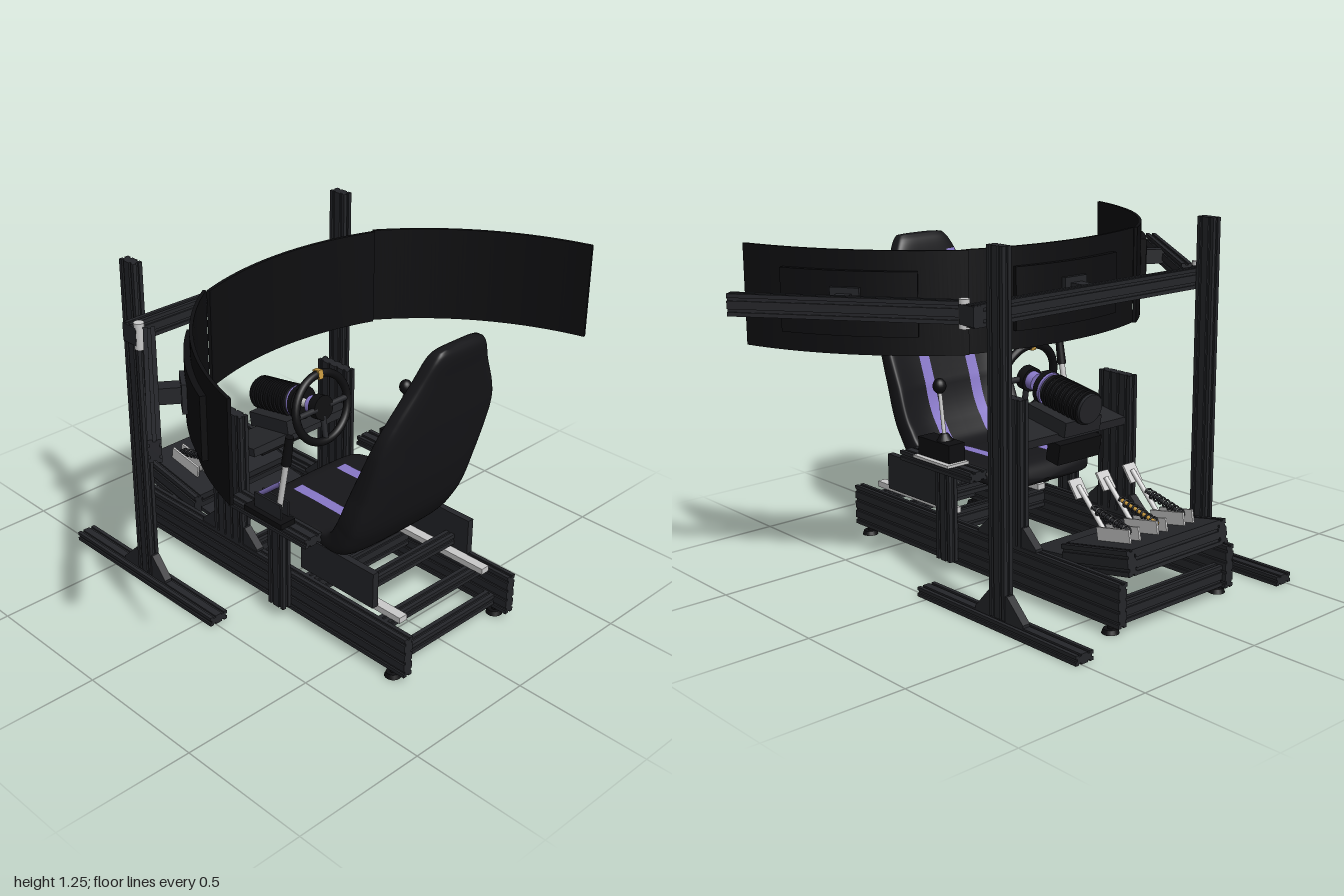
import * as THREE from 'three';
import { ParametricGeometry } from 'three/addons/geometries/ParametricGeometry.js';

const mat = (color, side = THREE.FrontSide) => new THREE.MeshStandardMaterial({ color, side });
const FRAME = mat(0x25262a), BLACK = mat(0x0e0e10), SEAT = mat(0x17171a);
const PURPLE = mat(0x8878c8), SILVER = mat(0xcccccc), GOLD = mat(0xc89a40);
const V = (x, y, z) => new THREE.Vector3(x, y, z);

function add(parent, name, geometry, material) {
  const m = new THREE.Mesh(geometry, material);
  m.name = name;
  parent.add(m);
  return m;
}

function box(parent, name, material, [x0, x1], [y0, y1], [z0, z1]) {
  const m = add(parent, name, new THREE.BoxGeometry(x1 - x0, y1 - y0, z1 - z0), material);
  m.position.set((x0 + x1) / 2, (y0 + y1) / 2, (z0 + z1) / 2);
  return m;
}

function rod(parent, name, material, a, b, r, r2 = r) {
  const m = add(parent, name, new THREE.CylinderGeometry(r2, r, a.distanceTo(b), 20), material);
  m.position.copy(a).lerp(b, 0.5);
  m.quaternion.setFromUnitVectors(V(0, 1, 0), b.clone().sub(a).normalize());
  return m;
}

// Slotted aluminium section, one groove per 0.038 module on every side
function slottedShape(w, h) {
  const pts = [], n = 0.005, d = 0.006;
  const corners = [[-w / 2, -h / 2], [w / 2, -h / 2], [w / 2, h / 2], [-w / 2, h / 2]];
  corners.forEach(([x, y], i) => {
    const [ex, ey] = corners[(i + 1) % 4], len = Math.hypot(ex - x, ey - y);
    const ux = (ex - x) / len, uy = (ey - y) / len, count = Math.max(1, Math.round(len / 0.038));
    const at = (s, depth) => pts.push(new THREE.Vector2(x + ux * s - uy * depth, y + uy * s + ux * depth));
    at(0, 0);
    for (let k = 0; k < count; k++) {
      const c = ((k + 0.5) * len) / count;
      at(c - n, 0); at(c - n, d); at(c + n, d); at(c + n, 0);
    }
  });
  return new THREE.Shape(pts);
}

function beam(parent, name, axis, X, Y, Z) {
  const size = [X[1] - X[0], Y[1] - Y[0], Z[1] - Z[0]];
  const [w, h, len] = axis === 'x' ? [size[2], size[1], size[0]] : axis === 'y' ? [size[0], size[2], size[1]] : size;
  const g = new THREE.ExtrudeGeometry(slottedShape(w, h), { depth: len, bevelEnabled: false });
  g.translate(0, 0, -len / 2);
  if (axis === 'x') g.rotateY(Math.PI / 2);
  if (axis === 'y') g.rotateX(-Math.PI / 2);
  const m = add(parent, name, g, FRAME);
  m.position.set((X[0] + X[1]) / 2, (Y[0] + Y[1]) / 2, (Z[0] + Z[1]) / 2);
}

function gusset(parent, x, y, z, dz, h) {
  const s = new THREE.Shape([[0, 0], [dz, 0], [dz, 0.01], [0.1 * dz, h], [0, h]].map(p => new THREE.Vector2(...p)));
  const g = new THREE.ExtrudeGeometry(s, { depth: 0.03, bevelEnabled: false }).translate(0, 0, -0.015).rotateY(-Math.PI / 2);
  add(parent, 'gusset', g, FRAME).position.set(x, y, z);
}

// Curved slab, apex at the origin, bulging towards -z
function curvedSlab(width, height, thick, R = 1.09) {
  const a = Math.asin(width / 2 / R), s = new THREE.Shape();
  s.absarc(0, -R, R, Math.PI / 2 + a, Math.PI / 2 - a, true);
  s.absarc(0, -R, R - thick, Math.PI / 2 - a, Math.PI / 2 + a, false);
  const g = new THREE.ExtrudeGeometry(s, { depth: height, bevelEnabled: false, curveSegments: 28 });
  return g.translate(0, 0, -height / 2).rotateX(-Math.PI / 2);
}

function monitor(parent, name, x, z, angle) {
  const g = new THREE.Group();
  g.name = name;
  add(g, 'screen', curvedSlab(0.775, 0.346, 0.012), BLACK);
  add(g, 'rearHousing', curvedSlab(0.47, 0.215, 0.025), BLACK).position.z = -0.02;
  box(g, 'mountPlate', FRAME, [-0.05, 0.05], [-0.045, 0.055], [-0.035, -0.018]);
  box(g, 'mountArm', FRAME, [-0.025, 0.025], [-0.02, 0.035], [-0.12, -0.03]);
  g.position.set(x, 1.025, z);
  g.rotation.y = angle;
  parent.add(g);
}

// Seat stations: back z,y / front z,y / half width / hollow between bolsters
const STATIONS = [
  [-0.04, 0.315, -0.05, 0.36, 0.2, 0], [0, 0.33, 0, 0.4, 0.235, 0.1], [0.12, 0.335, 0.1, 0.42, 0.25, 0.25],
  [0.3, 0.335, 0.24, 0.43, 0.26, 0.35], [0.42, 0.335, 0.33, 0.44, 0.265, 0.4], [0.49, 0.42, 0.365, 0.49, 0.27, 0.45],
  [0.56, 0.6, 0.42, 0.61, 0.27, 0.45], [0.615, 0.8, 0.515, 0.8, 0.265, 0.35], [0.64, 0.9, 0.555, 0.9, 0.235, 0.2],
  [0.67, 1.03, 0.59, 1.02, 0.165, 0.1], [0.69, 1.12, 0.625, 1.12, 0.115, 0], [0.685, 1.142, 0.645, 1.142, 0.095, 0],
];

function buildSeat(root) {
  const seat = new THREE.Group();
  seat.name = 'seat';
  root.add(seat);
  const curve = f => new THREE.CatmullRomCurve3(STATIONS.map(f));
  const back = curve(s => V(0, s[1], s[0])), front = curve(s => V(0, s[3], s[2])), dims = curve(s => V(s[4], s[5], 0));
  const point = (t, cos, sin, lift, out) => {
    const b = back.getPoint(t), f = front.getPoint(t), d = dims.getPoint(t);
    const k = Math.sqrt(Math.max(0, Math.min(1, t / 0.025, (1 - t) / 0.025)));
    const h = Math.sqrt(Math.abs(sin)), a = Math.sign(cos) * Math.sqrt(Math.abs(cos));
    const e = sin > 0 ? h / 2 - d.y * h ** 4 : -h / 2;
    out.copy(b).lerp(f, 0.5 + e * k).addScaledVector(f.sub(b).normalize(), lift);
    out.x = a * d.x * k;
  };
  add(seat, 'seatShell', new ParametricGeometry((u, v, p) =>
    point(v, Math.cos(u * 2 * Math.PI), Math.sin(u * 2 * Math.PI), 0, p), 56, 80), SEAT);
  for (const s of [-1, 1]) {
    add(seat, 'seatStripe', new ParametricGeometry((u, v, p) => {
      const t = (1.5 + v * 8) / 11, x = s * 0.107 + 0.023 - 0.046 * u;
      const c = Math.min(1, (x / dims.getPoint(t).x) ** 2);
      point(t, Math.sign(x) * c, Math.sqrt(1 - c * c), 0.004, p);
    }, 4, 60), PURPLE);
    // Side brackets and sliders
    box(seat, 'seatBracket', FRAME, s > 0 ? [0.225, 0.25] : [-0.25, -0.225], [0.21, 0.345], [0.215, 0.56]);
    box(seat, 'seatSlider', SILVER, s > 0 ? [0.19, 0.225] : [-0.225, -0.19], [0.188, 0.21], [0.21, 0.66]);
  }
  for (const z of [0.28, 0.48]) beam(seat, 'seatCrossBar', 'x', [-0.225, 0.225], [0.225, 0.265], [z - 0.02, z + 0.02]);
}

function buildWheel(root) {
  const g = new THREE.Group();
  g.name = 'steering';
  g.position.set(0, 0.685, 0.06);
  g.rotation.x = -0.17;
  root.add(g);
  add(g, 'wheelRim', new THREE.TorusGeometry(0.124, 0.015, 14, 48), BLACK);
  for (const a of [0, Math.PI, -Math.PI / 2]) {
    const c = V(Math.cos(a), Math.sin(a), 0);
    rod(g, 'wheelSpoke', FRAME, c.clone().multiplyScalar(0.03), c.clone().multiplyScalar(0.12), 0.011);
  }
  box(g, 'topMark', GOLD, [-0.01, 0.01], [0.108, 0.141], [-0.014, 0.016]);
  // Hub, shaft and finned motor along the column axis: z from, z to, radius
  const turned = [['hub', BLACK, 0.01, -0.025, 0.045], ['hubRing', PURPLE, -0.025, -0.055, 0.034], ['shaft', SILVER, -0.055, -0.1, 0.016],
    ['motorFlange', BLACK, -0.095, -0.115, 0.062], ['motorRing', PURPLE, -0.115, -0.125, 0.06], ['motor', FRAME, -0.125, -0.325, 0.054]];
  for (const [n, m, a, b, r] of turned) rod(g, n, m, V(0, 0, a), V(0, 0, b), r);
  for (let i = 0; i < 8; i++) rod(g, 'motorFin', BLACK, V(0, 0, -0.14 - i * 0.023), V(0, 0, -0.152 - i * 0.023), 0.062);
  box(g, 'motorCradle', FRAME, [-0.085, 0.085], [-0.1, -0.045], [-0.3, -0.1]);
  box(g, 'cradlePlate', FRAME, [-0.24, 0.24], [-0.125, -0.095], [-0.27, -0.11]);
  box(g, 'rearControlBox', BLACK, [-0.1, 0.1], [-0.2, -0.125], [-0.3, -0.24]);
}

function buildPedals(root) {
  const deck = new THREE.Group();
  deck.name = 'pedalDeck';
  deck.position.set(0, 0.225, -0.52);
  deck.rotation.x = 0.18;
  root.add(deck);
  for (const s of [-1, 1]) beam(deck, 'deckRail', 'z', [s * 0.22 - 0.02, s * 0.22 + 0.02], [-0.05, 0.035], [-0.155, 0.15]);
  for (const z of [-0.135, 0.13]) beam(deck, 'deckCrossBar', 'x', [-0.2, 0.2], [-0.05, 0.02], [z - 0.02, z + 0.02]);
  box(deck, 'deckPlate', FRAME, [-0.2, 0.2], [0.02, 0.035], [-0.155, 0.15]);
  for (const x of [-0.13, 0, 0.13]) {
    const p = new THREE.Group();
    p.name = 'pedal';
    p.position.set(x, 0.035, 0);
    deck.add(p);
    for (const s of [-0.022, 0.022]) box(p, 'pedalCheek', SILVER, [s - 0.004, s + 0.004], [0, 0.045], [-0.09, 0.06]);
    rod(p, 'pedalArm', SILVER, V(0, 0.02, 0.045), V(0, 0.175, 0.15), 0.009);
    const face = box(p, 'pedalFace', SILVER, [-0.028, 0.028], [0.13, 0.2], [0.148, 0.156]);
    face.rotation.x = 0.45;
    // Return spring
    const a = V(0, 0.1, 0.085), b = V(0, 0.03, -0.07);
    rod(p, 'damper', x === 0 ? GOLD : FRAME, a, b, 0.007);
    const coil = Array.from({ length: 65 }, (_, i) => a.clone().lerp(b, i / 64)
      .add(V(Math.cos(i * 0.8) * 0.014, Math.sin(i * 0.8) * 0.014, 0)));
    add(p, 'spring', new THREE.TubeGeometry(new THREE.CatmullRomCurve3(coil), 130, 0.0035, 6), FRAME);
  }
  const heel = box(root, 'heelPlate', FRAME, [-0.22, 0.22], [0.165, 0.18], [-0.36, -0.2]);
  heel.rotation.x = 0.1;
}

function buildControls(root) {
  // Handbrake on the right
  const hb = new THREE.Group();
  hb.name = 'handbrake';
  root.add(hb);
  box(hb, 'handbrakeBase', BLACK, [-0.37, -0.305], [0.425, 0.445], [0.06, 0.245]);
  for (const x of [-0.345, -0.31]) box(hb, 'handbrakeCheek', FRAME, [x - 0.004, x + 0.004], [0.445, 0.5], [0.09, 0.22]);
  rod(hb, 'handbrakeLever', SILVER, V(-0.328, 0.46, 0.19), V(-0.328, 0.67, 0.23), 0.011);
  rod(hb, 'handbrakeGrip', BLACK, V(-0.328, 0.655, 0.228), V(-0.328, 0.765, 0.246), 0.017, 0.014);
  rod(hb, 'handbrakeStrut', PURPLE, V(-0.328, 0.57, 0.2), V(-0.328, 0.49, 0.1), 0.009);
  // Shifter on the left
  const sh = new THREE.Group();
  sh.name = 'shifter';
  root.add(sh);
  box(sh, 'shifterPlate', SILVER, [0.28, 0.375], [0.425, 0.435], [0.055, 0.245]);
  box(sh, 'shifterBox', BLACK, [0.285, 0.355], [0.435, 0.5], [0.07, 0.24]);
  rod(sh, 'shifterBoot', BLACK, V(0.32, 0.5, 0.135), V(0.32, 0.525, 0.138), 0.03, 0.014);
  rod(sh, 'shifterStick', SILVER, V(0.32, 0.5, 0.135), V(0.32, 0.68, 0.16), 0.007);
  const knob = add(sh, 'shifterKnob', new THREE.SphereGeometry(0.024, 20, 14), BLACK);
  knob.position.set(0.32, 0.69, 0.16);
  knob.scale.y = 1.15;
}

export function createModel() {
  const root = new THREE.Group();
  root.name = 'racingSimulatorRig';
  const mid = (c, w) => [c - w / 2, c + w / 2];

  for (const s of [-1, 1]) {
    // Base rail, levelling feet and wheel upright
    const x = s * 0.26;
    beam(root, 'baseRail', 'z', mid(x, 0.038), [0.035, 0.187], [-0.674, 0.735]);
    for (const z of [0.67, -0.62]) {
      rod(root, 'footPad', BLACK, V(x, 0.004, z), V(x, 0.02, z), 0.03, 0.024);
      rod(root, 'footStem', BLACK, V(x, 0.02, z), V(x, 0.036, z), 0.01);
    }
    beam(root, 'wheelUpright', 'y', mid(x, 0.038), [0.187, 0.698], [-0.21, -0.057]);
    gusset(root, x, 0.187, -0.057, 0.072, 0.07);
    gusset(root, x, 0.187, -0.21, -0.072, 0.07);
    // Control shelf on an outer post
    beam(root, 'shelfPost', 'y', mid(s * 0.299, 0.038), [0.05, 0.39], [0.12, 0.195]);
    beam(root, 'controlShelf', 'z', mid(s * 0.317, 0.076), [0.39, 0.425], [-0.04, 0.347]);
    // Monitor stand
    const px = s * 0.486;
    beam(root, 'standFoot', 'z', mid(px, 0.075), [0.004, 0.038], [-0.732, 0.045]);
    beam(root, 'standPost', 'y', mid(px, 0.038), [0.038, 1.253], [-0.382, -0.308]);
    gusset(root, px, 0.038, -0.308, 0.075, 0.085);
    gusset(root, px, 0.038, -0.382, -0.085, 0.085);
    // Hinged arm and side monitor
    rod(root, 'armHinge', SILVER, V(s * 0.542, 0.985, -0.245), V(s * 0.542, 1.08, -0.245), 0.018);
    box(root, 'hingeBracket', FRAME, mid(s * 0.54, 0.04), [1.0, 1.065], [-0.31, -0.24]);
    const arm = new THREE.Group();
    arm.name = 'monitorArm';
    beam(arm, 'armBeam', 'z', [-0.02, 0.02], [-0.037, 0.037], [-0.385, 0.385]);
    arm.position.set(s * 0.757, 1.031, 0.092);
    arm.rotation.y = s * 0.649;
    root.add(arm);
    monitor(root, 'sideMonitor', s * 0.675, 0.185, -s * 0.957);
  }
  monitor(root, 'centreMonitor', 0, -0.15, 0);
  beam(root, 'monitorCrossBeam', 'x', [-0.555, 0.555], [0.995, 1.068], [-0.308, -0.27]);

  // Base cross members
  for (const [z, y0, y1] of [[0.66, 0.05, 0.09], [0.25, 0.11, 0.187], [-0.13, 0.05, 0.125], [-0.64, 0.04, 0.115]])
    beam(root, 'baseCrossBar', 'x', [-0.241, 0.241], [y0, y1], mid(z, 0.04));
  beam(root, 'seatRearBar', 'x', [-0.241, 0.241], [0.15, 0.187], mid(0.6, 0.04));

  buildSeat(root);
  buildWheel(root);
  buildPedals(root);
  buildControls(root);
  return root;
}
